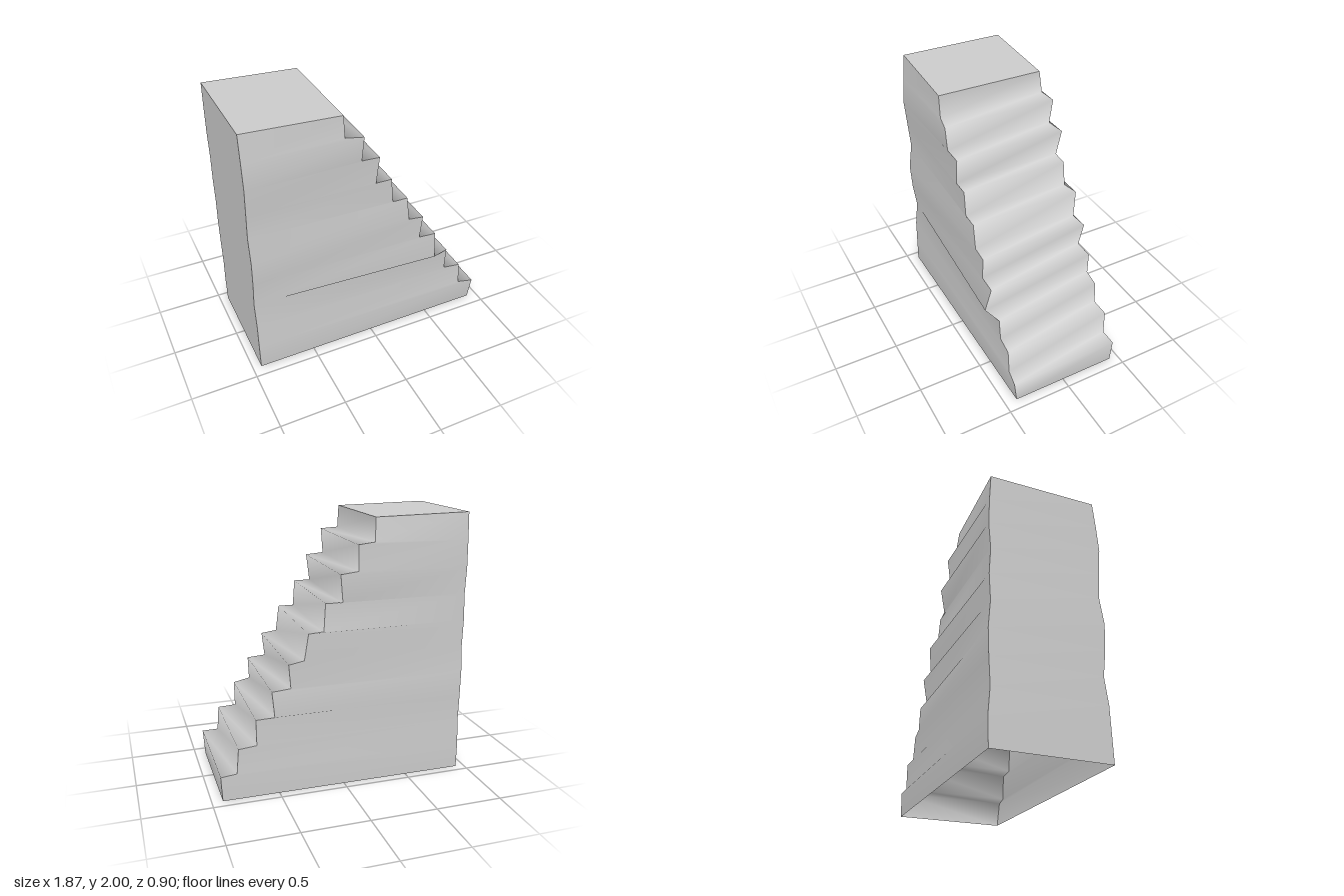
import * as THREE from 'three';
import { mergeVertices } from 'three/addons/utils/BufferGeometryUtils.js';

// One entry per step: riser foot and riser lip as [x, y, frontZ, backZ]
const STEPS = [
  [[0.92, 0, 0.405, -0.43], [0.93, 0.19, 0.43, -0.435]],
  [[0.81, 0.2, 0.41, -0.43], [0.795, 0.39, 0.41, -0.435]],
  [[0.66, 0.4, 0.4, -0.43], [0.66, 0.59, 0.41, -0.42]],
  [[0.525, 0.6, 0.455, -0.435], [0.54, 0.79, 0.41, -0.425]],
  [[0.4, 0.8, 0.41, -0.42], [0.42, 0.985, 0.41, -0.445]],
  [[0.3, 1.0, 0.41, -0.425], [0.275, 1.2, 0.41, -0.45]],
  [[0.155, 1.2, 0.41, -0.425], [0.14, 1.4, 0.41, -0.415]],
  [[0.015, 1.4, 0.41, -0.425], [0.04, 1.605, 0.41, -0.45]],
  [[-0.1, 1.615, 0.415, -0.425], [-0.09, 1.805, 0.43, -0.445]],
  [[-0.22, 1.815, 0.405, -0.425], [-0.23, 1.985, 0.405, -0.405]],
];

// Uneven corners of the tall end, one per level
const END_X = -0.935;
const END_FRONT = [0.415, 0.41, 0.405, 0.38, 0.405, 0.415, 0.385, 0.4, 0.415, 0.4, 0.38];
const END_BACK = [-0.44, -0.445, -0.43, -0.44, -0.445, -0.43, -0.44, -0.43, -0.445, -0.44, -0.43];

const stepFront = ([x, y, f]) => [x, y, f];
const stepBack = ([x, y, , b]) => [x, y, b];
const endFront = (k) => [END_X, k * 0.2, END_FRONT[k]];
const endBack = (k) => [END_X, k * 0.2, END_BACK[k]];

// Smooth sheet through rungs [a, b]; it faces the viewer who sees a left of b
function sheet(name, rungs, material) {
  const index = [];
  for (let i = 0; i < rungs.length - 1; i++) {
    const a = 2 * i;
    index.push(a, a + 1, a + 3, a, a + 3, a + 2);
  }
  let geometry = new THREE.BufferGeometry();
  geometry.setAttribute('position', new THREE.Float32BufferAttribute(rungs.flat(2), 3));
  geometry.setIndex(index);
  geometry = mergeVertices(geometry);
  geometry.computeVertexNormals();
  const mesh = new THREE.Mesh(geometry, material);
  mesh.name = name;
  return mesh;
}

export function createModel() {
  const group = new THREE.Group();
  group.name = 'staircase';
  const material = new THREE.MeshStandardMaterial({ color: 0xcccccc, side: THREE.DoubleSide });

  const stairs = [], front = [], back = [], end = [];
  STEPS.forEach((step, k) => step.forEach((p, lip) => {
    stairs.push([stepFront(p), stepBack(p)]);
    front.push([endFront(k + lip), stepFront(p)]);
    back.push([stepBack(p), endBack(k + lip)]);
  }));
  END_FRONT.forEach((_, k) => end.push([endBack(k), endFront(k)]));

  const top = STEPS[9][1];
  const landing = [[endFront(10), stepFront(top)], [endBack(10), stepBack(top)]];

  // The underside stays open
  group.add(
    sheet('steps', stairs, material),
    sheet('frontWall', front, material),
    sheet('backWall', back, material),
    sheet('endWall', end, material),
    sheet('topLanding', landing, material),
  );
  return group;
}
